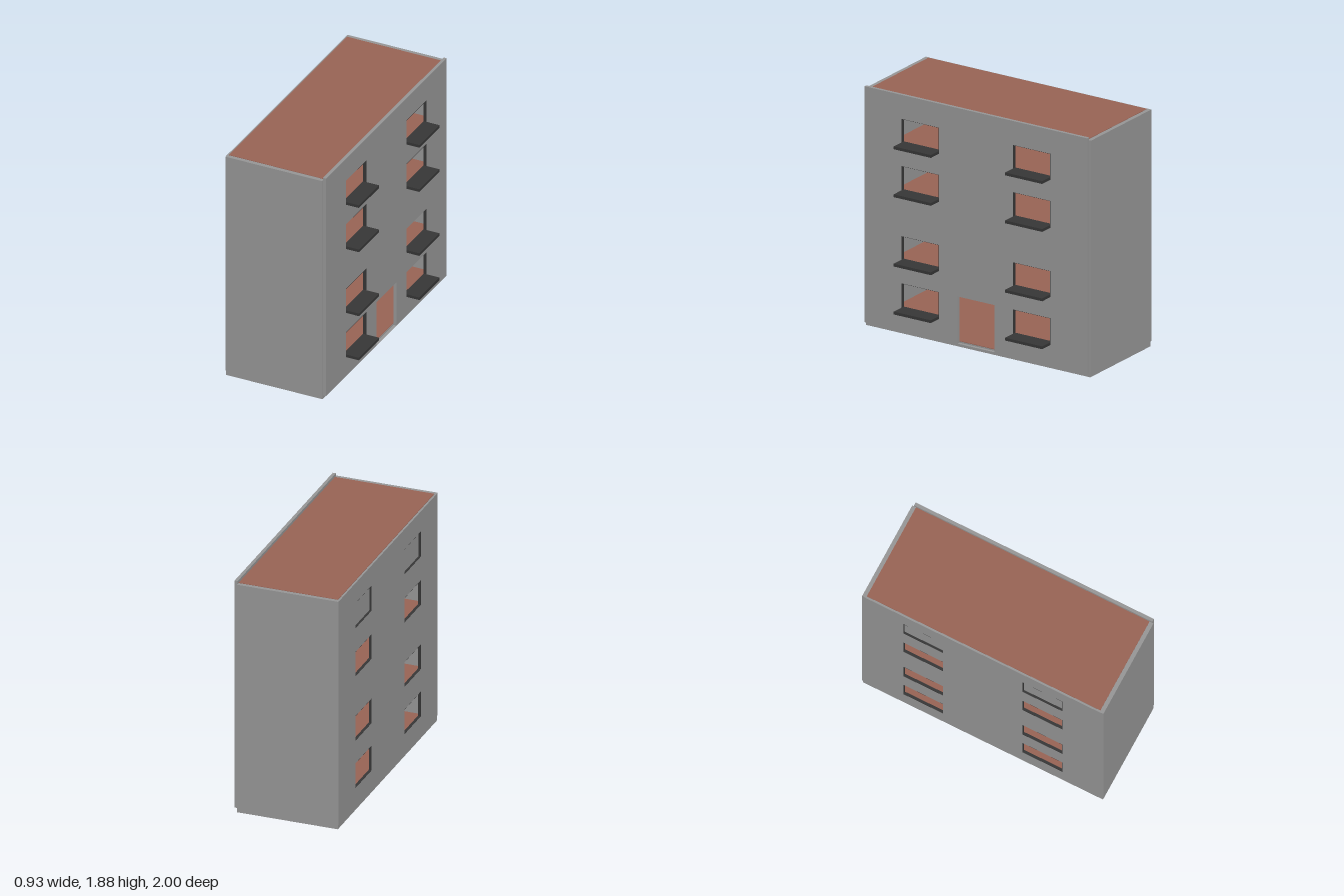
import * as THREE from 'three';

const mat = (color) => new THREE.MeshStandardMaterial({ color });

export function createModel() {
  const model = new THREE.Group();
  const grey = mat(0x969696), clay = mat(0x986355), dark = mat(0x363636), shade = mat(0x707070);

  const add = (name, geometry, material) => {
    const mesh = new THREE.Mesh(geometry, material);
    mesh.name = name;
    model.add(mesh);
    return mesh;
  };
  // box given by its limits on each axis
  const box = (name, [x0, x1], [y0, y1], [z0, z1], material = grey) =>
    add(name, new THREE.BoxGeometry(x1 - x0, y1 - y0, z1 - z0), material)
      .position.set((x0 + x1) / 2, (y0 + y1) / 2, (z0 + z1) / 2);

  const trace = (target, u0, u1, v0, v1) => {
    target.moveTo(u0, v0);
    target.lineTo(u1, v0);
    target.lineTo(u1, v1);
    target.lineTo(u0, v1);
    target.closePath();
    return target;
  };
  // upright slab across x0..x1 with rectangular holes [z0, z1, y0, y1]
  const wall = (name, x0, x1, [z0, z1, y0, y1], holes, material = grey) => {
    const shape = trace(new THREE.Shape(), -z1, -z0, y0, y1);
    for (const [a, b, c, d] of holes) shape.holes.push(trace(new THREE.Path(), -b, -a, c, d));
    const geometry = new THREE.ExtrudeGeometry(shape, { depth: x1 - x0, bevelEnabled: false });
    geometry.rotateY(Math.PI / 2).translate(x0, 0, 0);
    add(name, geometry, material);
  };

  const columns = [[-0.657, -0.328], [0.33, 0.66]];
  const frontRows = [[0.191, 0.402], [0.567, 0.772], [1.111, 1.322], [1.487, 1.692]];
  const backRows = [[0.185, 0.387], [0.57, 0.772], [1.095, 1.295], [1.487, 1.692]];
  const openings = (rows) => rows.flatMap((r) => columns.map((c) => [...c, ...r]));
  const frontHoles = openings(frontRows), backHoles = openings(backRows);

  // front wall with windows and doorway
  wall('frontWall', 0.335, 0.36, [-0.985, 0.99, 0.03, 1.88],
    [...frontHoles, [-0.163, 0.165, 0.032, 0.402]]);
  // back wall with windows
  wall('backWall', -0.465, -0.443, [-0.985, 0.985, 0.03, 1.855], backHoles);

  // dark linings inside the window openings
  const t = 0.002;
  const lining = (name, x0, x1, holes) => {
    for (const [a, b, c, d] of holes)
      wall(name, x0, x1, [a, b, c, d], [[a + t, b - t, c + t, d - t]], dark);
  };
  lining('frontWindowLining', 0.335, 0.36, frontHoles);
  lining('backWindowLining', -0.465, -0.443, backHoles);

  // balcony slabs under the front windows
  for (const [a, b, c] of frontHoles)
    box('balcony', [0.335, 0.466], [c, c + 0.022], [a, b], dark);

  // closed panels behind the top back windows
  for (const [a, b] of columns)
    box('blindPanel', [-0.448, -0.436], [1.47, 1.71], [a - 0.02, b + 0.02]);

  // shaded hall wall opposite the doorway
  box('hallWall', [-0.443, -0.437], [0.046, 0.41], [-0.3, 0.3], shade);

  // end walls
  for (const s of [-1, 1])
    box('endWall', [-0.463, 0.335], [0.04, 1.857], s < 0 ? [-1, -0.968] : [0.968, 1]);

  // base, storey floors and roof: grey slabs with clay tops
  box('base', [-0.46, 0.335], [0, 0.042], [-0.995, 0.995]);
  for (const y of [0.042, 0.43, 0.96, 1.35, 1.856]) {
    const kind = y > 1.8 ? 'roof' : 'floor';
    if (y > 0.1) box(kind + 'Slab', [-0.443, 0.334], [y - 0.02, y], [-0.968, 0.968]);
    box(kind + 'Covering', [-0.45, 0.334], [y, y + 0.004], [-0.968, 0.968], clay);
  }
  return model;
}
